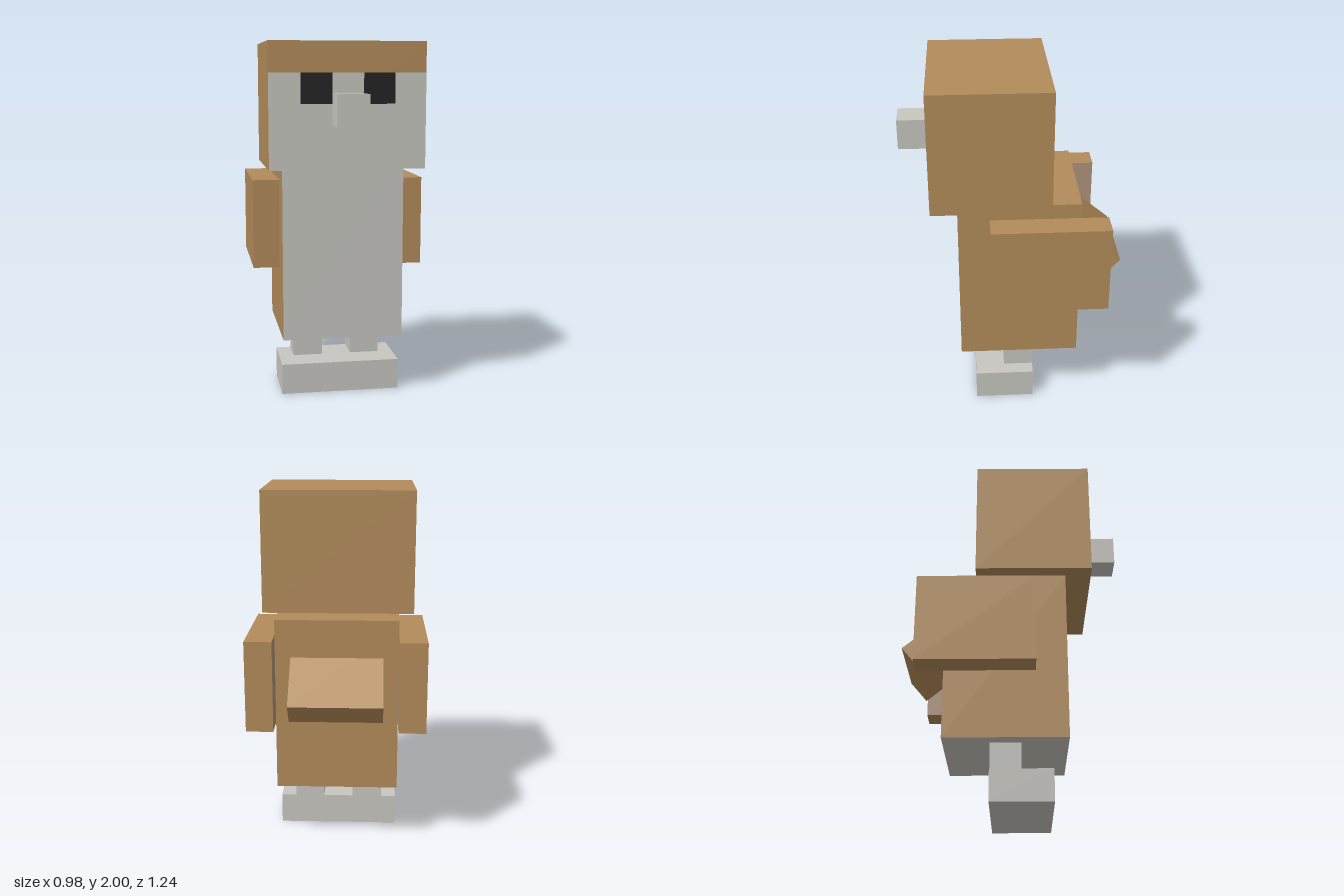
import * as THREE from 'three';

const mat = (name, color) => {
  const m = new THREE.MeshStandardMaterial({ color });
  m.name = name;
  return m;
};

export function createModel() {
  const brown = mat('brown feathers', 0xb28b5a);
  const grey = mat('pale grey', 0xc7c6c0);
  const taupe = mat('inner wing taupe', 0xad937b);
  const black = mat('eye black', 0x222222);

  const model = new THREE.Group();
  model.name = 'blockBird';

  // Box given by its minimum and maximum corners
  const box = (name, material, [x0, y0, z0], [x1, y1, z1]) => {
    const mesh = new THREE.Mesh(new THREE.BoxGeometry(x1 - x0, y1 - y0, z1 - z0), material);
    mesh.position.set((x0 + x1) / 2, (y0 + y1) / 2, (z0 + z1) / 2);
    mesh.name = name;
    model.add(mesh);
    return mesh;
  };

  // Flat painted panel facing forward
  const panel = (name, material, x0, x1, y0, y1, z) => {
    const mesh = new THREE.Mesh(new THREE.PlaneGeometry(x1 - x0, y1 - y0), material);
    mesh.position.set((x0 + x1) / 2, (y0 + y1) / 2, z);
    mesh.name = name;
    model.add(mesh);
  };

  // Head, face and beak
  box('head', brown, [-0.425, 1.32, -0.205], [0.425, 2, 0.45]);
  panel('face', grey, -0.425, 0.425, 1.32, 1.835, 0.452);
  box('beak', grey, [-0.085, 1.555, 0.45], [0.085, 1.725, 0.62]);

  // Body: pale belly and underside (face order +x, -x, +y, -y, +z, -z)
  box('body', [brown, brown, brown, grey, grey, brown], [-0.34, 0.345, -0.375], [0.34, 1.32, 0.305]);

  // Mirrored eyes, wings and legs
  for (const [side, s] of [['left', 1], ['right', -1]]) {
    const span = (a, b) => (s > 0 ? [a, b] : [-b, -a]);
    const [e0, e1] = span(0.085, 0.255);
    panel(side + 'Eye', black, e0, e1, 1.67, 1.835, 0.455);
    box(side + 'Leg', grey, [e0, 0.175, -0.12], [e1, 0.345, 0.05]);

    const wingFaces = Array(6).fill(brown);
    wingFaces[s > 0 ? 1 : 0] = taupe;
    const [w0, w1] = span(0.34, 0.49);
    box(side + 'Wing', wingFaces, [w0, 0.73, -0.525], [w1, 1.235, 0.13]);
  }

  // Joined feet
  box('feet', grey, [-0.34, 0, -0.12], [0.34, 0.175, 0.22]);

  // Tail slab sloping down and back out of the body
  const tail = new THREE.Mesh(new THREE.BoxGeometry(0.51, 0.15, 0.45), brown);
  tail.name = 'tail';
  tail.position.set(0, 0.991, -0.399);
  tail.rotation.x = -0.695;
  model.add(tail);

  return model;
}
